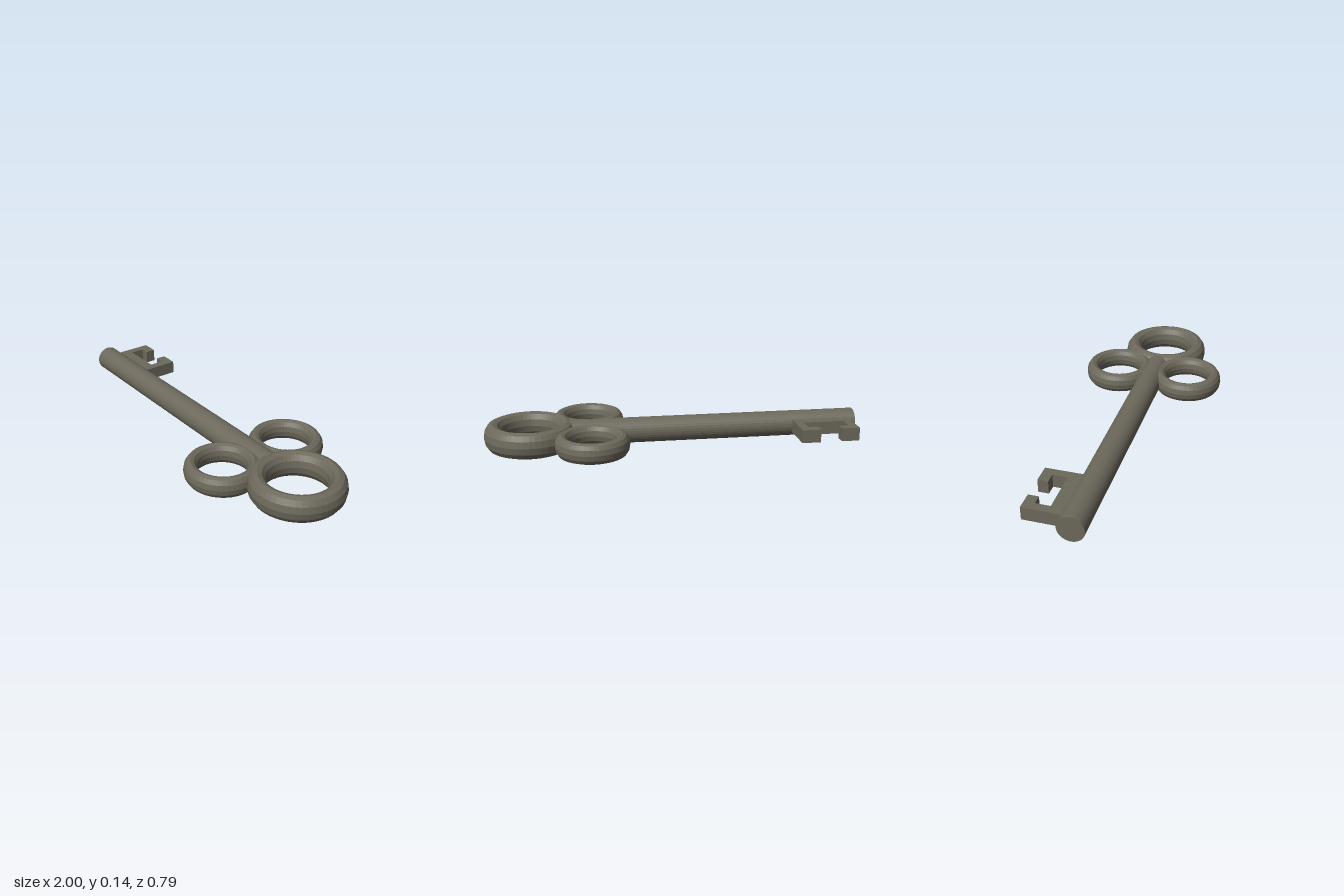
import * as THREE from 'three';

export function createModel() {
  const key = new THREE.Group();
  key.name = 'key';
  const iron = new THREE.MeshStandardMaterial({ color: 0x6c685b, flatShading: true });
  iron.name = 'dark iron';
  const midY = 0.07;

  const add = (name, geometry, x, y, z) => {
    const mesh = new THREE.Mesh(geometry, iron);
    mesh.name = name;
    mesh.position.set(x, y, z);
    key.add(mesh);
    return mesh;
  };

  // Ring with an upright elliptical cross-section of twelve sides
  const ring = (radius, halfWidth, halfHeight) => {
    const profile = [];
    for (let i = 0; i <= 12; i++) {
      const a = (i / 12) * Math.PI * 2;
      profile.push(new THREE.Vector2(radius + halfWidth * Math.cos(a), halfHeight * Math.sin(a)));
    }
    return new THREE.LatheGeometry(profile, 48);
  };

  // Bow: one large ring at the end, two smaller ones beside the shaft
  add('largeRing', ring(0.193, 0.047, 0.07), 0.76, midY, 0);
  add('leftSmallRing', ring(0.156, 0.036, 0.055), 0.445, midY, 0.203);
  add('rightSmallRing', ring(0.156, 0.036, 0.055), 0.445, midY, -0.203);

  // Shaft, ending inside the large ring's wall
  const shaft = new THREE.CylinderGeometry(0.068, 0.068, 1.56, 32);
  shaft.rotateZ(Math.PI / 2);
  add('shaft', shaft, -0.22, midY, 0);

  // Bit: a C-shaped plate with two hooked teeth pointing to the back
  const outline = [
    [-0.955, 0.03], [-0.645, 0.03], [-0.645, 0.252], [-0.745, 0.252],
    [-0.745, 0.198], [-0.69, 0.198], [-0.69, 0.122], [-0.91, 0.122],
    [-0.91, 0.198], [-0.86, 0.198], [-0.86, 0.252], [-0.955, 0.252],
  ].map(([x, y]) => new THREE.Vector2(x, y));
  const bit = new THREE.ExtrudeGeometry(new THREE.Shape(outline), { depth: 0.07, bevelEnabled: false });
  bit.rotateX(-Math.PI / 2);
  add('bit', bit, 0, midY - 0.035, 0);

  return key;
}
